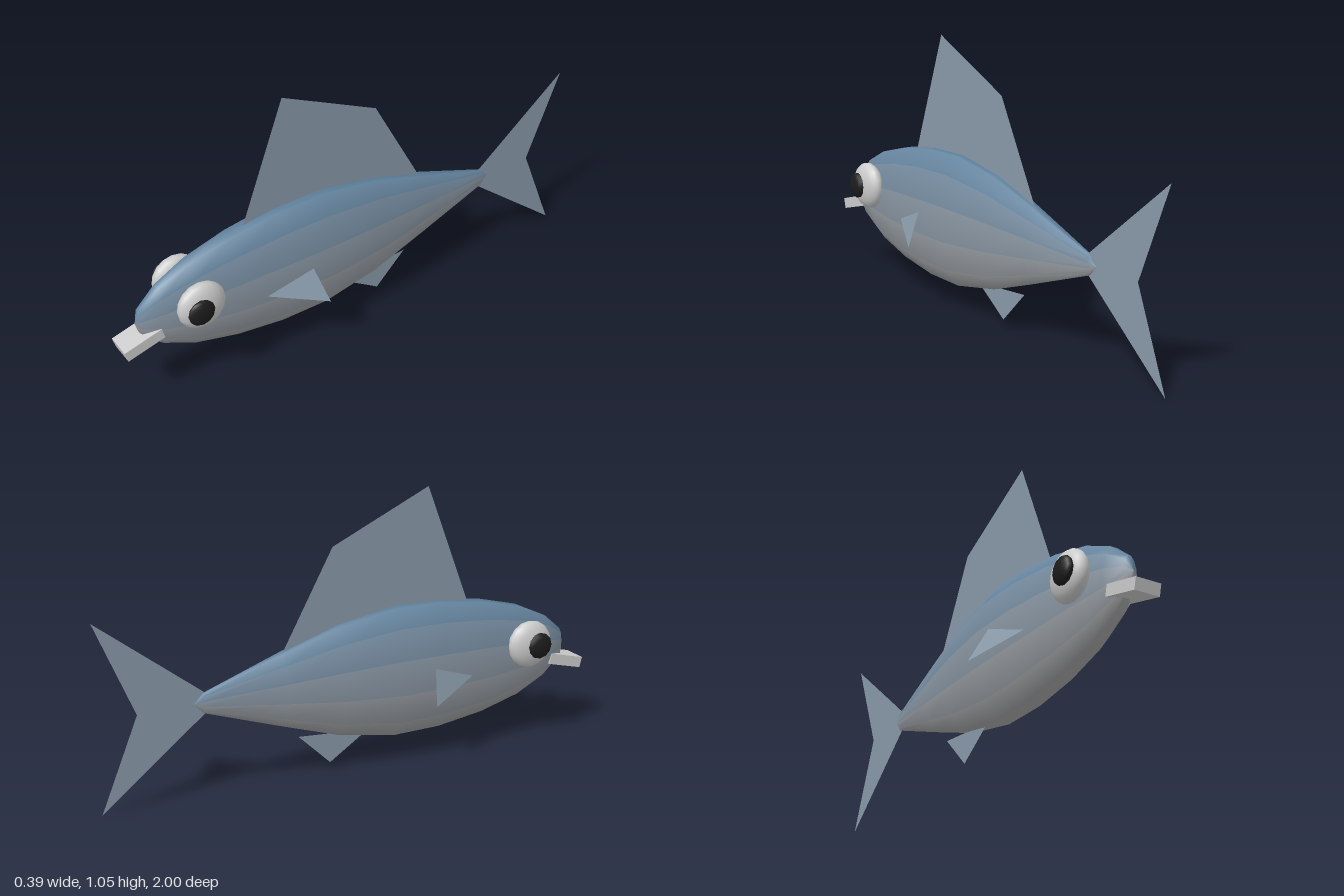
import * as THREE from 'three';

const BACK = new THREE.Color(0x5f829e);
const BELLY = new THREE.Color(0xa6a6a6);
const finMaterial = new THREE.MeshStandardMaterial({ color: 0x8899a8, side: THREE.DoubleSide });

// Flat fin from a fan of [x, y, z] corners
function fin(name, corners) {
  const geometry = new THREE.BufferGeometry();
  geometry.setAttribute('position', new THREE.Float32BufferAttribute(corners.flat(), 3));
  const index = [];
  for (let i = 1; i < corners.length - 1; i++) index.push(0, i, i + 1);
  geometry.setIndex(index);
  geometry.computeVertexNormals();
  const mesh = new THREE.Mesh(geometry, finMaterial);
  mesh.name = name;
  return mesh;
}

// Squashed ball, thin across x
function ball(name, color, segments, radius, halfDepth, position) {
  const geometry = new THREE.SphereGeometry(radius, segments, Math.ceil(segments * 0.7));
  geometry.rotateZ(Math.PI / 2);
  geometry.scale(halfDepth / radius, 1, 1);
  const mesh = new THREE.Mesh(geometry, new THREE.MeshStandardMaterial({ color }));
  mesh.name = name;
  mesh.position.set(...position);
  return mesh;
}

// Spindle body: twelve lengthwise strips shading from blue back to grey belly
function createBody() {
  const body = new THREE.Group();
  body.name = 'body';
  // [z, half height] from tail to nose
  const profile = [
    [-0.645, 0], [-0.61, 0.037], [-0.3, 0.142], [-0.085, 0.212], [0.15, 0.254], [0.345, 0.252],
    [0.54, 0.226], [0.71, 0.183], [0.835, 0.125], [0.912, 0.06], [0.93, 0],
  ].map(([z, r]) => new THREE.Vector2(r / Math.cos(Math.PI / 12), z));
  for (let i = 0; i < 12; i++) {
    const angle = (i * Math.PI) / 6;
    const geometry = new THREE.LatheGeometry(profile, 1, angle - Math.PI / 12, Math.PI / 6);
    geometry.rotateX(Math.PI / 2);
    geometry.scale(0.42, 1, 1);
    const color = BELLY.clone().lerp(BACK, (1 - Math.cos(angle)) / 2);
    const strip = new THREE.Mesh(geometry, new THREE.MeshStandardMaterial({ color }));
    strip.name = 'bodyStrip';
    body.add(strip);
  }
  body.position.y = 0.362;
  return body;
}

export function createModel() {
  const fish = new THREE.Group();
  fish.name = 'fish';
  fish.add(createBody());

  // Blunt mouth, tipped downward
  const mouth = new THREE.Mesh(
    new THREE.BoxGeometry(0.098, 0.043, 0.153),
    new THREE.MeshStandardMaterial({ color: 0xcccccc })
  );
  mouth.name = 'mouth';
  mouth.position.set(0, 0.295, 0.921);
  mouth.rotation.x = 0.25;
  fish.add(mouth);

  // Fins on the centre line
  fish.add(
    fin('dorsalFin', [[0, 0.59, 0.48], [0, 1.06, 0.3], [0, 0.875, -0.095], [0, 0.5, -0.3]]),
    fin('analFin', [[0, 0.13, 0.035], [0, 0.035, -0.11], [0, 0.163, -0.24], [0, 0.152, -0.1]]),
    fin('tailFinUpper', [[0, 0.362, -0.57], [0, 0.4, -0.6], [0, 0.715, -1], [0, 0.36, -0.855]]),
    fin('tailFinLower', [[0, 0.362, -0.57], [0, 0.36, -0.855], [0, 0.005, -1], [0, 0.325, -0.6]])
  );

  // Paired eyes and side fins
  for (const [side, s] of [['left', 1], ['right', -1]]) {
    fish.add(
      ball(side + 'Eye', 0xf4f4f4, 16, 0.094, 0.045, [s * 0.092, 0.411, 0.713]),
      ball(side + 'Pupil', 0x1c1c1c, 12, 0.052, 0.022, [s * 0.133, 0.412, 0.734]),
      fin(side + 'PectoralFin', [[s * 0.1, 0.324, 0.45], [s * 0.13, 0.39, 0.27], [s * 0.195, 0.265, 0.24]])
    );
  }
  return fish;
}
